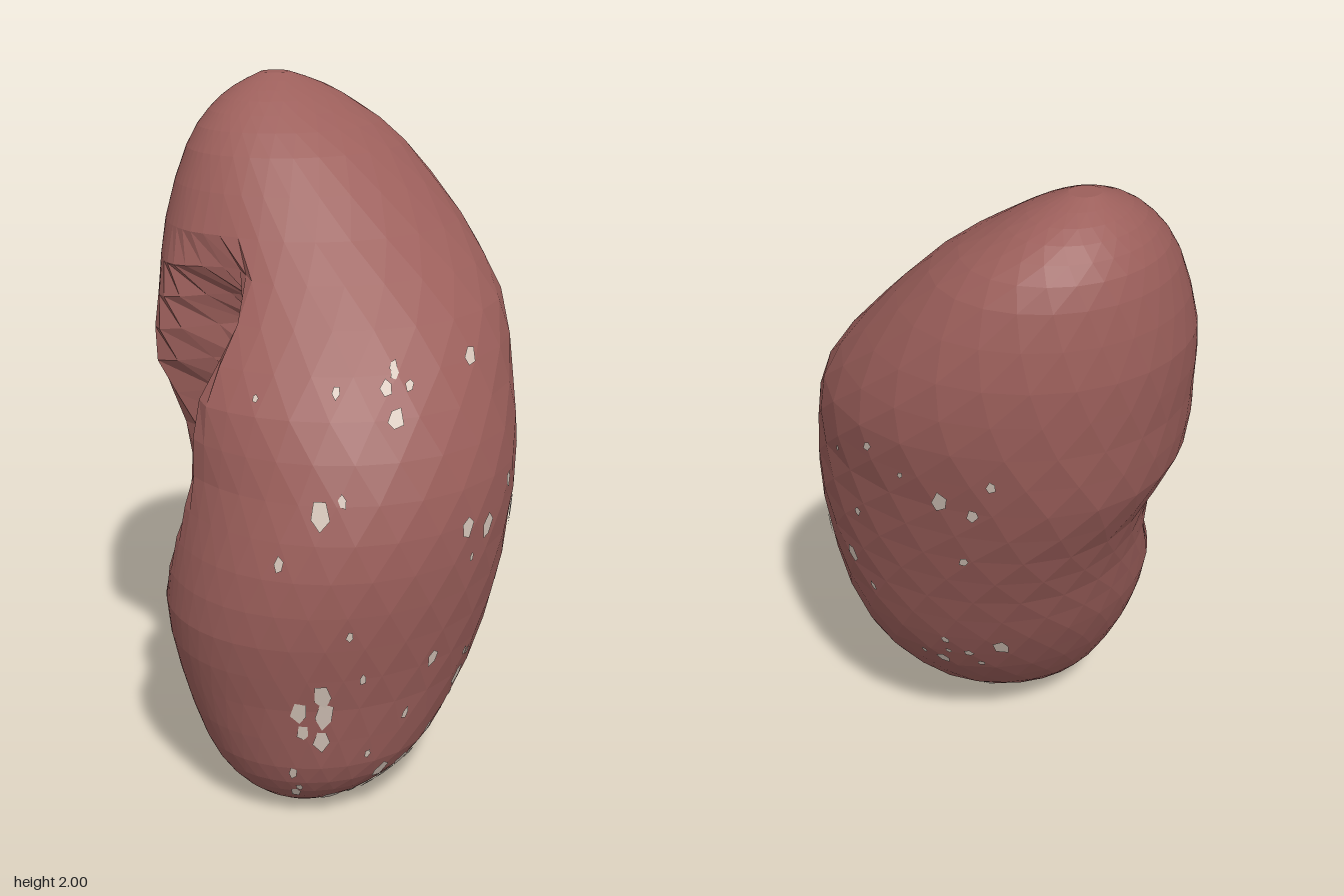
import * as THREE from 'three';

// Horizontal sections: y, xMin, xMax, zMin, zMax
const SECTIONS = [
  [0, 0.06, 0.19, 0.21, 0.36], [0.04, -0.04, 0.27, 0.11, 0.43], [0.1, -0.12, 0.35, 0.03, 0.49],
  [0.2, -0.2, 0.43, -0.1, 0.54], [0.4, -0.3, 0.5, -0.27, 0.585], [0.6, -0.36, 0.55, -0.38, 0.62],
  [0.8, -0.38, 0.58, -0.45, 0.605], [1.0, -0.43, 0.58, -0.51, 0.55], [1.2, -0.53, 0.525, -0.565, 0.49],
  [1.4, -0.565, 0.425, -0.615, 0.36], [1.6, -0.585, 0.25, -0.61, 0.23], [1.8, -0.55, 0.045, -0.55, 0.1],
  [1.9, -0.5, -0.1, -0.47, 0.0], [1.96, -0.44, -0.2, -0.38, -0.09], [2.0, -0.37, -0.29, -0.27, -0.19],
];
const spline = (f) => new THREE.CatmullRomCurve3(SECTIONS.map(f), false, 'catmullrom', 0.5);
const centers = spline(([y, a, b, c, d]) => new THREE.Vector3((a + b) / 2, y, (c + d) / 2));
const radii = spline(([, a, b, c, d]) => new THREE.Vector3((b - a) / 2, (d - c) / 2, 0));

// Deep hollow on the inner curve of the bean, undercutting its right and upper rim
const HOLLOW = new THREE.Vector3(-0.29, 1.13, 0.35);
const OUT = new THREE.Vector3(-0.65, 0, 0.76);
const SIDE = new THREE.Vector3(0.76, 0, 0.65);
const PUSH = new THREE.Vector3(0.78, 0.2, -0.58);
const HOLLOW_ANGLE = 2.28, BACK_ANGLE = 3.75;

function surface(t, th) {
  const c = centers.getPoint(t), r = radii.getPoint(t);
  const middle = Math.exp(-(((c.y - 1) / 0.45) ** 2));
  const skew = -0.13 + 0.19 * middle;
  // Fuller back at mid height
  const bulge = 1 + 0.1 * middle * Math.max(0, Math.cos(th - BACK_ANGLE)) ** 6;
  const p = new THREE.Vector3(
    c.x + bulge * r.x * Math.cos(th), c.y,
    c.z + bulge * r.y * (skew * Math.cos(th) + Math.sqrt(1 - skew * skew) * Math.sin(th)));
  const q = p.clone().sub(HOLLOW);
  if (q.dot(OUT) > -0.35) {
    const s = q.dot(SIDE);
    const r2 = (s / 0.155) ** 2 + (q.y / 0.36) ** 2;
    const fold = 1 + 0.1 * Math.sin(q.y * 17 + s * 25);
    p.addScaledVector(PUSH, 0.3 * fold * Math.exp(-r2 * r2));
  }
  return p;
}

function bodyGeometry(rings, sides) {
  const pos = [], index = [];
  for (let i = 0; i <= rings; i++)
    for (let j = 0; j < sides; j++) {
      // Finer columns around the hollow, broad facets on the back
      const phi = ((j + (i % 2) / 2) / sides * 2 - 1) * Math.PI;
      pos.push(...surface(i / rings, HOLLOW_ANGLE + phi - 0.6 * Math.sin(phi)).toArray());
    }
  for (let i = 0; i < rings; i++)
    for (let j = 0; j < sides; j++) {
      const k = (j + 1) % sides;
      const a = i * sides + j, b = i * sides + k, c = a + sides, d = b + sides;
      if (i % 2) index.push(a, c, d, a, d, b);
      else index.push(a, c, b, b, c, d);
    }
  // End caps
  const low = pos.length / 3, top = low + 1, last = rings * sides;
  pos.push(...centers.getPoint(0).toArray(), ...centers.getPoint(1).toArray());
  for (let j = 0; j < sides; j++) {
    const k = (j + 1) % sides;
    index.push(low, j, k, top, last + k, last + j);
  }
  const g = new THREE.BufferGeometry();
  g.setAttribute('position', new THREE.Float32BufferAttribute(pos, 3));
  g.setIndex(index);
  g.computeVertexNormals();
  return g;
}

// Small irregular flecks lying just above the skin
function fleckGeometry(count) {
  let seed = 29;
  const rnd = () => (seed = (seed * 16807) % 2147483647) / 2147483647;
  const pos = [];
  for (let n = 0; n < count; n++) {
    const t = 0.1 + 0.53 * rnd(), th = -2.2 + 3.6 * rnd();
    const p = surface(t, th);
    const up = surface(t + 0.005, th).sub(p).normalize();
    const along = surface(t, th + 0.02).sub(p).normalize();
    const normal = up.clone().cross(along).normalize();
    const size = 0.012 + 0.025 * rnd(), turn = rnd() * 6;
    const rim = [];
    for (let k = 0; k < 5; k++) {
      const a = turn + k * Math.PI * 0.4, s = size * (0.65 + 0.5 * rnd());
      rim.push(p.clone().addScaledVector(normal, 0.002)
        .addScaledVector(along, s * Math.cos(a) * 0.8)
        .addScaledVector(up, s * Math.sin(a) * 1.25));
    }
    for (let k = 1; k < 4; k++)
      for (const v of [rim[0], rim[k + 1], rim[k]]) pos.push(...v.toArray());
  }
  const g = new THREE.BufferGeometry();
  g.setAttribute('position', new THREE.Float32BufferAttribute(pos, 3));
  g.computeVertexNormals();
  return g;
}

export function createModel() {
  const group = new THREE.Group();
  group.name = 'bean';
  const add = (name, geometry, color) => {
    const mesh = new THREE.Mesh(geometry, new THREE.MeshStandardMaterial({
      color, flatShading: true, side: THREE.DoubleSide }));
    mesh.name = name;
    group.add(mesh);
  };
  add('body', bodyGeometry(28, 34), 0x9c5f5b);
  add('flecks', fleckGeometry(75), 0xd6c6ba);
  return group;
}
